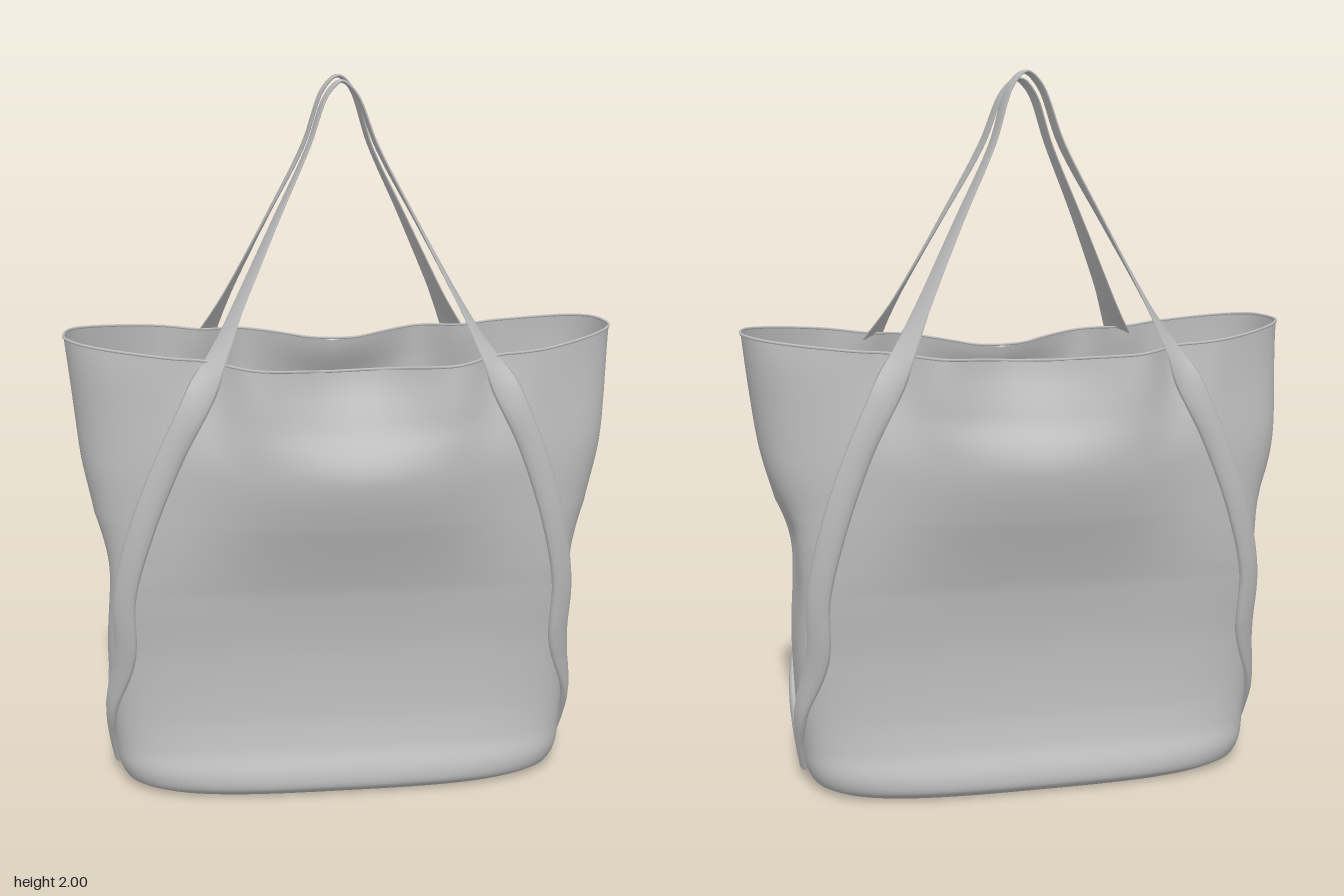
import * as THREE from 'three';

const cloth = new THREE.MeshStandardMaterial({ color: 0xbfbfbf, side: THREE.DoubleSide });
cloth.name = 'grey cloth';

// Body cross-sections: height, half width, half depth, squareness
const sections = [
  [0, 0.6, 0.255, 3.2], [0.02, 0.63, 0.283, 3.3], [0.06, 0.648, 0.288, 3.5], [0.13, 0.656, 0.262, 3.9],
  [0.22, 0.663, 0.246, 4.3], [0.4, 0.668, 0.245, 5], [0.6, 0.657, 0.266, 6], [0.7, 0.668, 0.284, 5],
  [0.8, 0.7, 0.298, 4], [0.95, 0.737, 0.307, 3.4], [1.1, 0.757, 0.31, 2.9], [1.25, 0.774, 0.315, 2.5],
];
const sectionCurve = new THREE.CatmullRomCurve3(sections.map(s => new THREE.Vector3(s[1], s[2], s[3])));

function sectionAt(y) {
  const last = sections.length - 1;
  let i = 0;
  while (i < last - 1 && y > sections[i + 1][0]) i++;
  const f = THREE.MathUtils.clamp((y - sections[i][0]) / (sections[i + 1][0] - sections[i][0]), 0, 1);
  return sectionCurve.getPoint((i + f) / last);
}

const { smoothstep, lerp } = THREE.MathUtils;
const bump = (v, centre, width, power = 2) => Math.exp(-(Math.abs((v - centre) / width) ** power));
const shiftX = y => -0.015 * (1 - smoothstep(y, 0.5, 1.2));

// Outward direction of the wall at a point
function wallNormal(p) {
  const s = sectionAt(p.y);
  const part = (v, r) => Math.sign(v) * Math.abs(v / r) ** (s.z - 1) / r;
  return new THREE.Vector3(part(p.x - shiftX(p.y), s.x), 0, part(p.z, s.y)).normalize();
}

// Soft bulges and folds of the cloth, and the wavy rim
function drape(p) {
  const { x, y, z } = p;
  const face = smoothstep(Math.abs(z), 0.12, 0.22) * Math.sign(z);
  const rim = smoothstep(y, 0.95, 1.25);
  p.z += face * (0.06 * bump(y, 0.97, 0.25) * bump(x, 0, 0.37, 4)
    - (z > 0 ? 0.13 : 0.1) * rim * bump(x, 0.02, 0.17)
    + 0.025 * rim * bump(Math.abs(x), 0.27, 0.08)
    - 0.045 * rim * bump(Math.abs(x), 0.39, 0.07)
    - 0.012 * bump(y, 1.08 + 0.1 * x * x, 0.04) * bump(x, 0.05, 0.2));
  // Slight twist of the two end corners of the mouth
  p.z -= 0.035 * rim * Math.sign(x) * smoothstep(Math.abs(x), 0.5, 0.77);
  // Crease in the side panels
  const side = smoothstep(Math.abs(x), 0.5, 0.62) * Math.sign(x);
  p.x -= side * 0.025 * bump(y, 0.72 - 0.4 * z, 0.07) * bump(z, -0.06, 0.13);
  // Rim rises towards the sides
  const top = 1.205 + 0.09 * Math.min(1, Math.abs(x) / 0.76) + (z < 0 ? 0.015 * bump(x, 0, 0.4) : 0);
  p.y *= lerp(1, top / 1.25, smoothstep(y, 0.5, 1.25));
  return p;
}

// Skin over rings of equal length; every ring is closed
function loft(rings) {
  const n = rings[0].length, pos = [], idx = [];
  rings.forEach(r => r.forEach(p => pos.push(p.x, p.y, p.z)));
  for (let i = 0; i < rings.length - 1; i++) for (let j = 0; j < n; j++) {
    const a = i * n + j, b = i * n + (j + 1) % n;
    idx.push(a, a + n, b, b, a + n, b + n);
  }
  const g = new THREE.BufferGeometry();
  g.setAttribute('position', new THREE.Float32BufferAttribute(pos, 3));
  g.setIndex(idx);
  g.computeVertexNormals();
  return g;
}

function addMesh(group, name, geometry) {
  const m = new THREE.Mesh(geometry, cloth);
  m.name = name;
  group.add(m);
}

// Superellipse outline of the wall at a height, clockwise so the outside faces outward
function ringAt(y, scale = 1, count = 180) {
  const s = sectionAt(y);
  return Array.from({ length: count }, (_, j) => {
    const t = -j / count * Math.PI * 2;
    const c = Math.sign(Math.cos(t)) * Math.abs(Math.cos(t)) ** 0.75;
    const d = Math.sign(Math.sin(t)) * Math.abs(Math.sin(t)) ** 0.75;
    const k = scale * (Math.abs(c) ** s.z + Math.abs(d) ** s.z) ** (-1 / s.z);
    return new THREE.Vector3(s.x * c * k + shiftX(y), y, s.y * d * k);
  });
}

// Strap route on the wall: height with the depth (side panel) or the width (front panel)
const sideRoute = [[0.045, 0.03], [0.13, 0.065], [0.24, 0.122], [0.42, 0.2]];
const frontRoute = [[0.6, 0.605], [0.8, 0.56], [1.0, 0.488], [1.14, 0.422]];

function wallRoute(side, front) {
  const onWall = (v, r, other, n) => other * (1 - (v / r) ** n) ** (1 / n);
  const points = [
    ...sideRoute.map(([y, z]) => {
      const s = sectionAt(y);
      return [onWall(z, s.y, s.x, s.z), y, z];
    }),
    ...frontRoute.map(([y, x]) => {
      const s = sectionAt(y);
      return [x, y, onWall(x, s.x, s.y, s.z)];
    }),
  ];
  return points.map(([x, y, z]) => {
    const p = new THREE.Vector3(side * x + shiftX(y), y, front * z);
    const n = wallNormal(p);
    return { p: p.addScaledVector(n, y < 0.5 ? 0.003 : 0.013), n };
  });
}

// One long strap: up one side of the bag, over the peak and down the other
function strapGeometry(front, peak) {
  const half = side => [...wallRoute(side, front), ...peak.map(([x, y, z, nx, ny, nz]) => ({
    p: new THREE.Vector3(side * x, y, z), n: new THREE.Vector3(side * nx, ny, front * nz),
  }))];
  const all = [...half(1), ...half(-1).reverse().slice(1)];
  const path = new THREE.CatmullRomCurve3(all.map(k => k.p));
  const ups = new THREE.CatmullRomCurve3(all.map(k => k.n));
  const rings = [], steps = 180;
  for (let i = 0; i <= steps; i++) {
    const t = i / steps, p = path.getPoint(t);
    const tangent = path.getTangent(t);
    const across = tangent.clone().cross(ups.getPoint(t)).normalize();
    const up = across.clone().cross(tangent).normalize();
    const free = smoothstep(p.y, 1.0, 1.3);
    const thick = lerp(0.016, 0.005, free);
    const wide = lerp(0.036, 0.043, free) * (p.y < 0.2 ? 0.75 + p.y * 1.25 : 1);
    rings.push(Array.from({ length: 12 }, (_, j) => {
      const a = j / 12 * Math.PI * 2;
      return p.clone().addScaledVector(across, Math.cos(a) * wide).addScaledVector(up, Math.sin(a) * thick);
    }));
  }
  return loft(rings.reverse());
}

export function createModel() {
  const bag = new THREE.Group();
  bag.name = 'toteBag';

  // Cloth wall, open at the top
  const rings = [];
  for (let i = 0; i <= 80; i++) rings.push(ringAt(1.25 * (i / 80) ** 1.25).map(drape));
  addMesh(bag, 'bagWall', loft(rings));

  // Flat floor
  addMesh(bag, 'bagFloor', loft([ringAt(0, 0.001), ringAt(0, 0.5), ringAt(0)]));

  // Thin hem along the rim
  const rim = rings[rings.length - 1];
  const hem = new THREE.CatmullRomCurve3(rim.filter((_, j) => j % 2 === 0), true);
  addMesh(bag, 'rimHem', new THREE.TubeGeometry(hem, 180, 0.004, 6, true));

  // Two carrying straps meeting above the opening
  addMesh(bag, 'frontStrap', strapGeometry(1, [
    [0.375, 1.24, 0.275, 0.6, 0.25, 0.6], [0.31, 1.37, 0.2, 0.8, 0.35, 0.3], [0.195, 1.6, 0.092, 0.85, 0.4, 0.1],
    [0.095, 1.8, 0.02, 0.85, 0.4, 0], [0.04, 1.94, -0.005, 0.7, 0.6, 0], [0, 1.975, -0.01, 0, 1, 0]]));
  addMesh(bag, 'backStrap', strapGeometry(-1, [
    [0.375, 1.24, -0.288, 0.6, 0.25, 0.6], [0.31, 1.37, -0.245, 0.8, 0.35, 0.3], [0.195, 1.6, -0.175, 0.85, 0.4, 0.1],
    [0.095, 1.8, -0.13, 0.85, 0.4, 0], [0.04, 1.955, -0.108, 0.7, 0.6, 0], [0, 1.99, -0.105, 0, 1, 0]]));
  return bag;
}
